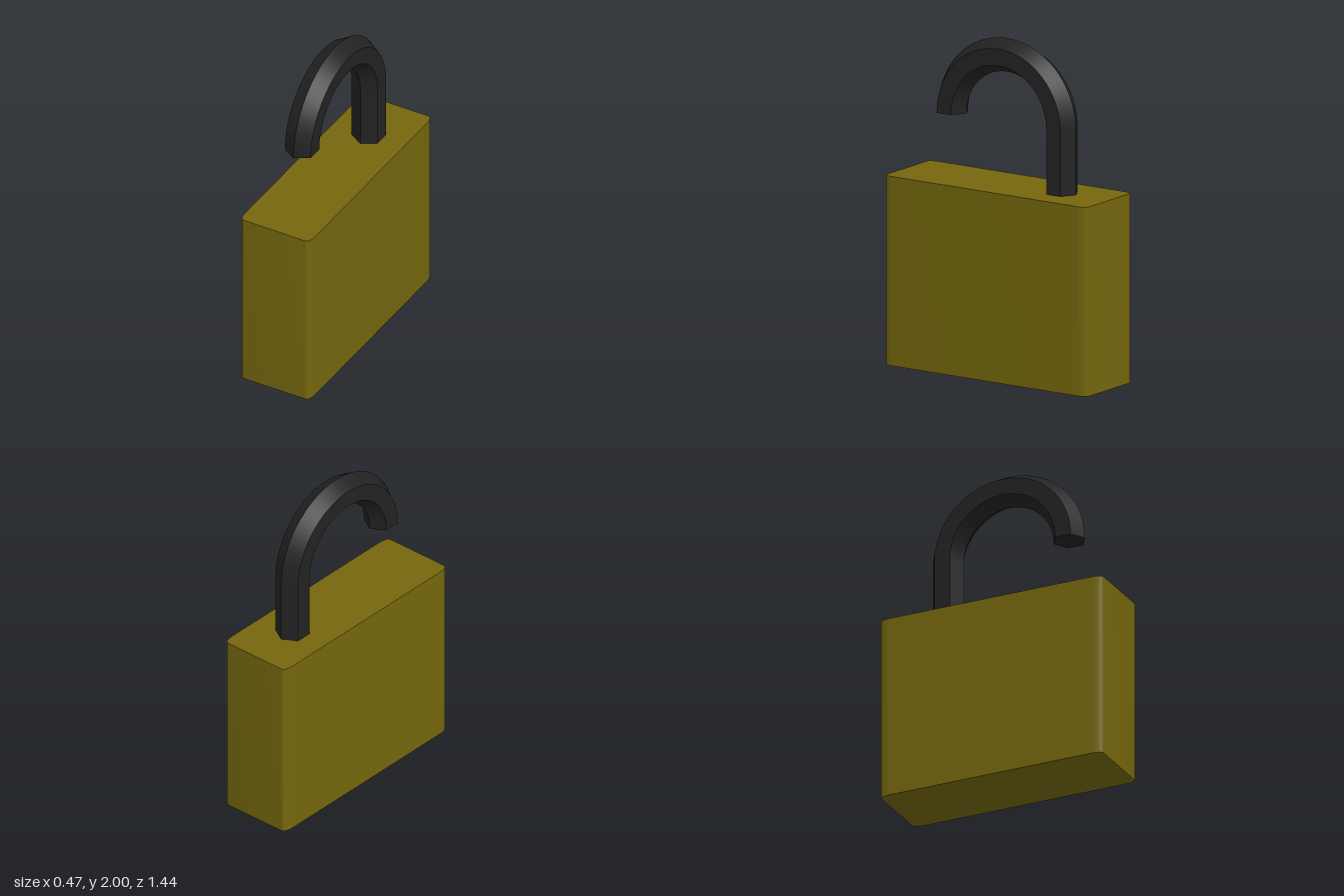
import * as THREE from 'three';
import { toCreasedNormals } from 'three/addons/utils/BufferGeometryUtils.js';

const CREASE = Math.PI / 5;

export function createModel() {
  const group = new THREE.Group();
  const brass = new THREE.MeshStandardMaterial({ color: 0x74660d });
  brass.name = 'brass';
  const steel = new THREE.MeshStandardMaterial({ color: 0x222223 });
  steel.name = 'darkSteel';

  const add = (parent, name, geometry, material) => {
    const mesh = new THREE.Mesh(toCreasedNormals(geometry, CREASE), material);
    mesh.name = name;
    parent.add(mesh);
    return mesh;
  };

  // Lock body: slab with softly rounded upright corners
  const w = 0.235, d = 0.718, rx = 0.027, rz = 0.065, height = 1.13;
  const outline = new THREE.Shape();
  const corners = [[1, 1], [-1, 1], [-1, -1], [1, -1]];
  corners.forEach(([sx, sz], i) => {
    const start = i * Math.PI / 2;
    outline.absellipse(sx * (w - rx), sz * (d - rz), rx, rz, start, start + Math.PI / 2, false, 0);
  });
  outline.closePath();
  const body = new THREE.ExtrudeGeometry(outline, { depth: height, bevelEnabled: false, curveSegments: 8 });
  body.rotateX(-Math.PI / 2);
  add(group, 'lockBody', body, brass);

  // Open shackle: six-sided bar with its ridges facing in and out of the bend
  const shackle = new THREE.Group();
  shackle.name = 'shackle';
  group.add(shackle);
  const bar = 0.1, bend = 0.39, bendY = 1.51, midZ = 0.006;

  const arc = new THREE.TorusGeometry(bend, bar, 6, 40, Math.PI);
  arc.rotateY(Math.PI / 2);
  add(shackle, 'shackleBend', arc, steel).position.set(0, bendY, midZ);

  // Long leg entering the body
  const legBottom = height - 0.05;
  const leg = new THREE.CylinderGeometry(bar, bar, bendY - legBottom, 6, 1, true);
  add(shackle, 'shackleLeg', leg, steel).position.set(0, (bendY + legBottom) / 2, midZ - bend);

  // Flat end of the short side
  const tip = new THREE.CircleGeometry(bar, 6);
  tip.rotateZ(Math.PI / 6);
  tip.rotateX(Math.PI / 2);
  add(shackle, 'shackleTip', tip, steel).position.set(0, bendY, midZ + bend);

  return group;
}
